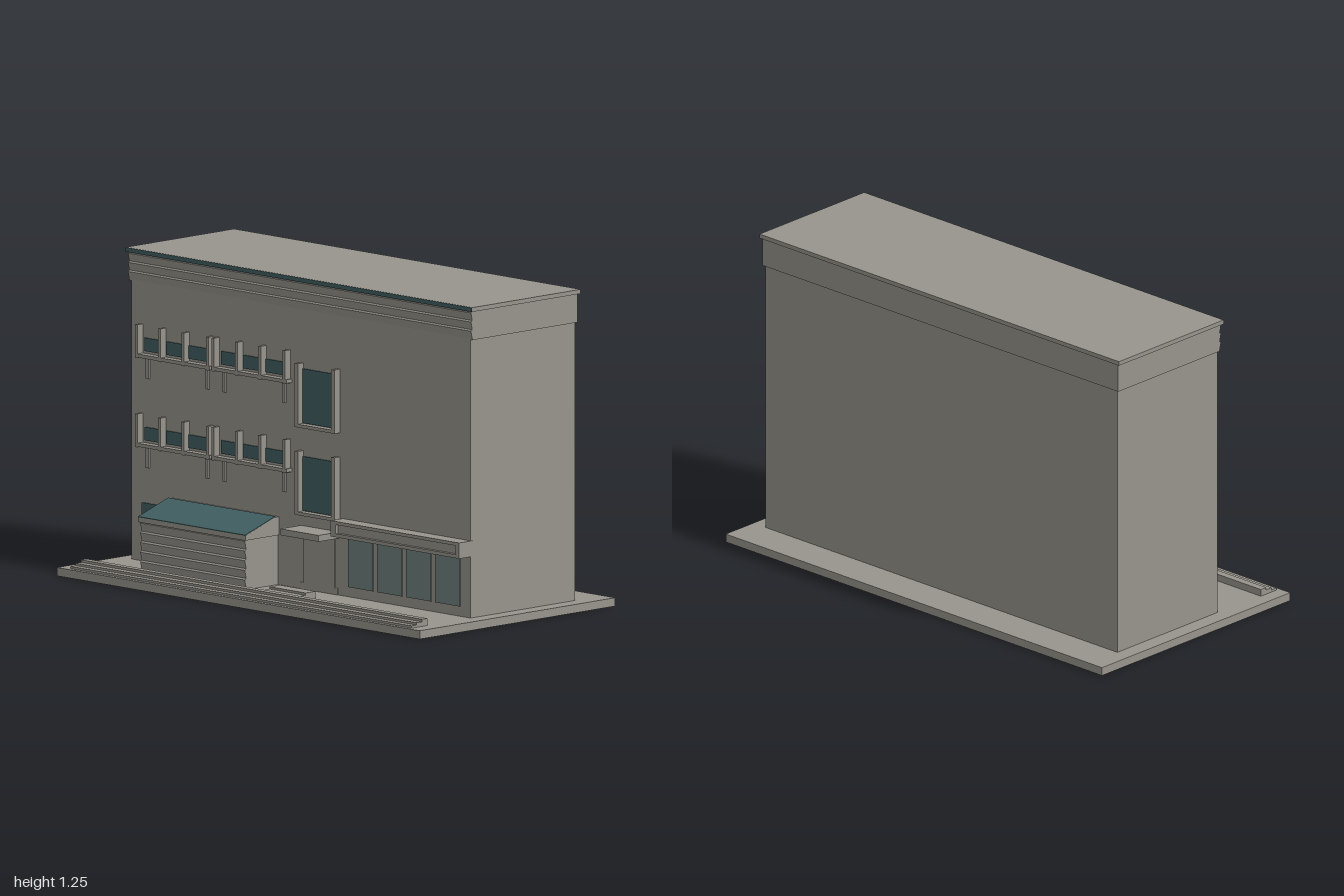
import * as THREE from 'three';

export function createModel() {
  const model = new THREE.Group();
  const mat = (name, color) => {
    const m = new THREE.MeshStandardMaterial({ color });
    m.name = name;
    return m;
  };
  const stone = mat('stone', 0x98958d);
  const teal = mat('dark teal', 0x416062);
  const glass = mat('pale glass', 0x70827f);

  // Box given by its limits on each axis
  const box = (name, x0, x1, y0, y1, z0, z1, material = stone) => {
    const mesh = new THREE.Mesh(new THREE.BoxGeometry(x1 - x0, y1 - y0, z1 - z0), material);
    mesh.position.set((x0 + x1) / 2, (y0 + y1) / 2, (z0 + z1) / 2);
    mesh.name = name;
    model.add(mesh);
    return mesh;
  };

  // Side profile of [z, y] points, extruded along x
  const profile = (name, points, x0, x1, material = stone) => {
    const shape = new THREE.Shape(points.map(([z, y]) => new THREE.Vector2(z, y)));
    const geometry = new THREE.ExtrudeGeometry(shape, { depth: x1 - x0, bevelEnabled: false });
    geometry.rotateY(-Math.PI / 2);
    const mesh = new THREE.Mesh(geometry, material);
    mesh.position.x = x1;
    mesh.name = name;
    model.add(mesh);
    return mesh;
  };

  // Overlapping boards, each leaning outward to its top ledge
  const boards = (name, x0, x1, y0, y1, z, depth, count) => {
    const points = [[z - 0.01, y0]];
    const h = (y1 - y0) / count;
    for (let i = 0; i < count; i++) {
      points.push([z, y0 + i * h], [z + depth, y0 + (i + 0.85) * h]);
    }
    points.push([z, y1], [z - 0.01, y1]);
    profile(name, points, x0, x1);
  };

  // Ground slab and main block
  box('groundSlab', -1, 1, 0, 0.033, -0.53, 0.53);
  box('mainBlock', -0.935, 0.935, 0.033, 1.236, -0.375, 0.19);

  // Parapet with layered cornice, roof cap and coloured edge
  box('parapet', -0.945, 0.945, 1.125, 1.238, -0.381, 0.191);
  boards('cornice', -0.945, 0.945, 1.13, 1.238, 0.191, 0.007, 3);
  box('roofCap', -0.955, 0.955, 1.238, 1.255, -0.387, 0.201);
  box('roofEdgeStripe', -0.955, 0.955, 1.238, 1.254, 0.201, 0.204, teal);

  // Two floors of ribbon windows with posts, sill and brackets
  for (const y of [0.835, 0.485]) {
    for (const x of [-0.885, -0.462]) {
      box('sill', x, x + 0.412, y, y + 0.014, 0.19, 0.22);
      for (let i = 0; i < 4; i++) {
        const px = x + i * 0.1285 + (i === 3 ? 0.006 : 0);
        box('windowPost', px, px + 0.014, y - 0.003, y + 0.128, 0.19, 0.22);
      }
      for (let i = 0; i < 3; i++) {
        const wx = x + 0.027 + i * 0.122;
        box('ribbonWindow', wx, wx + 0.104, y + 0.024, y + 0.076, 0.19, 0.195, teal);
      }
      for (const dx of [0.037, 0.366]) {
        box('bracket', x + dx, x + dx + 0.015, y - 0.083, y, 0.19, 0.198);
      }
    }
  }

  // Tall stair windows
  for (const y of [0.67, 0.326]) {
    box('stairWindow', 0.014, 0.192, y + 0.015, y + 0.228, 0.19, 0.195, teal);
    box('stairWindowSill', 0.012, 0.196, y, y + 0.013, 0.19, 0.22);
    for (const x of [-0.005, 0.196]) box('stairWindowJamb', x, x + 0.018, y, y + 0.25, 0.19, 0.22);
  }

  // Small ground floor window
  box('smallWindow', -0.873, -0.766, 0.205, 0.263, 0.19, 0.195, teal);

  // Boarded porch with a sloping roof
  box('porch', -0.703, -0.127, 0.033, 0.23, 0.19, 0.362);
  boards('porchBoards', -0.703, -0.127, 0.04, 0.23, 0.362, 0.008, 5);
  profile('porchRoofBase', [[0.19, 0.228], [0.374, 0.228], [0.374, 0.247], [0.212, 0.3], [0.19, 0.3]], -0.71, -0.12);
  profile('porchRoofCover', [[0.375, 0.247], [0.375, 0.25], [0.212, 0.304], [0.212, 0.3]], -0.71, -0.12, teal);

  // Entrance door, canopy and steps
  box('door', 0.02, 0.19, 0.06, 0.256, 0.19, 0.196);
  box('doorSill', 0, 0.205, 0.033, 0.06, 0.19, 0.194);
  box('doorCanopy', 0, 0.21, 0.256, 0.281, 0.19, 0.302);
  [[0.365, 0.062], [0.4, 0.053], [0.44, 0.043]].forEach(([z, y], i) =>
    box('entranceStep', 0.005, 0.203, 0.033, y, i ? z - 0.04 : 0.31, z));

  // Long kerb steps along the front
  [[0.455, 0.061], [0.485, 0.051], [0.512, 0.042]].forEach(([z, y], i) =>
    box('kerbStep', -0.943, 0.937, 0.033, y, i ? z - 0.032 : 0.425, z));

  // Shop fascia: a frame around a recessed panel
  const fascia = new THREE.Shape();
  fascia.moveTo(0.23, 0.274).lineTo(0.938, 0.274).lineTo(0.938, 0.336).lineTo(0.23, 0.336).closePath();
  const recess = new THREE.Path();
  recess.moveTo(0.255, 0.288).lineTo(0.255, 0.323).lineTo(0.917, 0.323).lineTo(0.917, 0.288).closePath();
  fascia.holes.push(recess);
  const frame = new THREE.Mesh(new THREE.ExtrudeGeometry(fascia, { depth: 0.08, bevelEnabled: false }), stone);
  frame.position.z = 0.175;
  frame.name = 'shopFascia';
  model.add(frame);
  box('fasciaPanel', 0.255, 0.917, 0.288, 0.323, 0.18, 0.24);

  // Shop windows
  for (let i = 0; i < 4; i++) {
    const x = 0.264 + i * 0.16;
    box('shopWindow', x, x + 0.136, 0.072, 0.272, 0.19, 0.195, glass);
  }

  return model;
}
